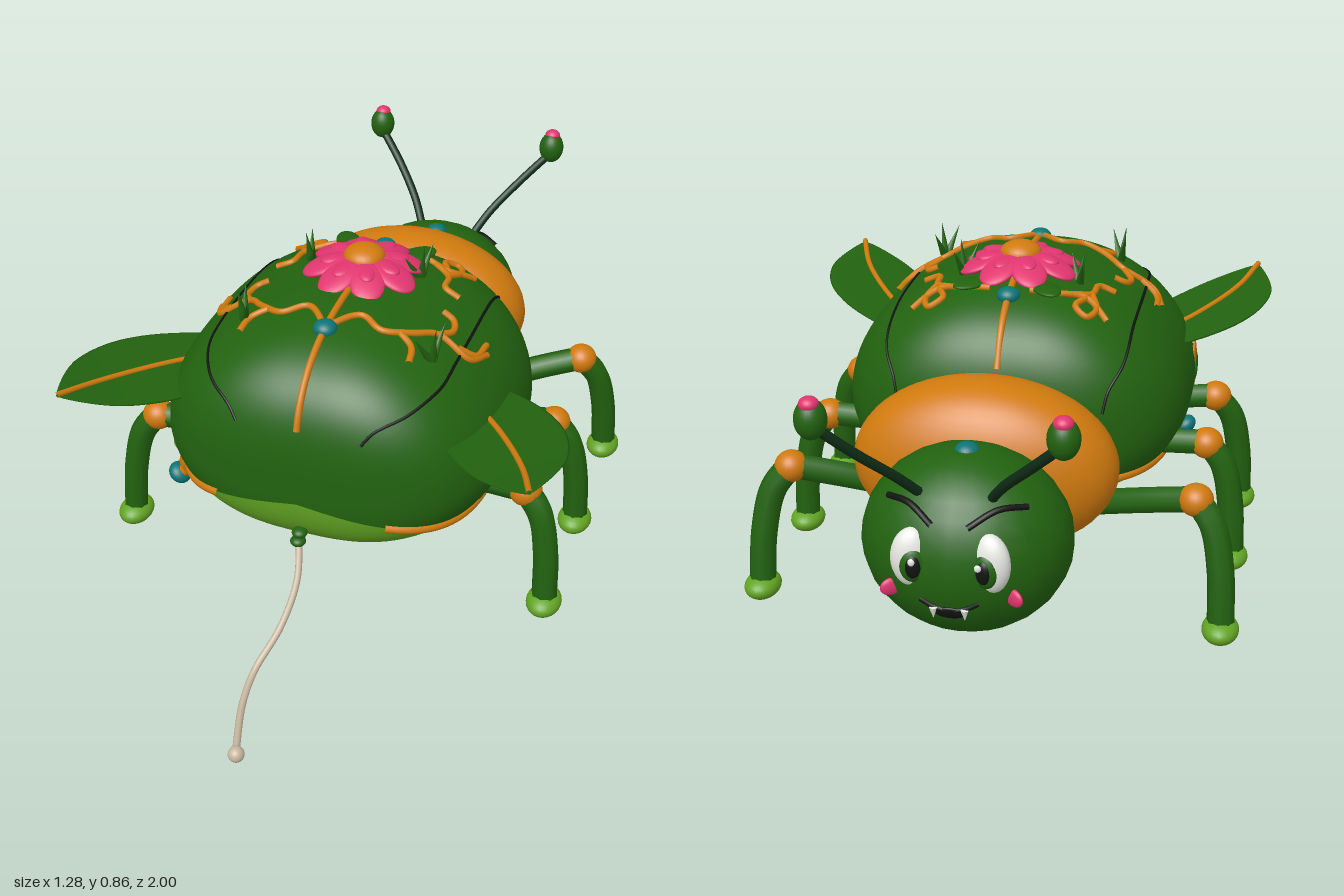
import * as THREE from 'three';
import { mergeVertices } from 'three/addons/utils/BufferGeometryUtils.js';

const mat = (name, color) => Object.assign(new THREE.MeshStandardMaterial({ color }), { name });
const GREEN = mat('leaf green', 0x22620f), PALE = mat('pale green', 0x62a423), ORANGE = mat('orange', 0xd07a0e);
const PINK = mat('pink', 0xe0356f), TEAL = mat('teal', 0x0c7476), BEIGE = mat('beige', 0xc9b8a0);
const DARK = mat('dark green', 0x0f2c16), WHITE = mat('white', 0xf4f4f0), BLACK = mat('black', 0x101410);
GREEN.side = THREE.DoubleSide;

const V = (p) => new THREE.Vector3(...p);
const spow = (v, e) => Math.sign(v) * Math.abs(v) ** e;

export function createModel() {
  const root = new THREE.Group();
  root.name = 'beetle';

  const add = (name, geo, m, pos = [0, 0, 0]) => {
    const mesh = new THREE.Mesh(geo, m);
    mesh.name = name;
    mesh.position.set(...pos);
    root.add(mesh);
    return mesh;
  };
  const ball = (name, m, pos, r, rot = [0, 0, 0]) => {
    const mesh = add(name, new THREE.SphereGeometry(1, 24, 16), m, pos);
    mesh.scale.set(...r);
    mesh.rotation.set(...rot);
    return mesh;
  };
  const tube = (name, m, pts, r, seg = 32) =>
    add(name, new THREE.TubeGeometry(new THREE.CatmullRomCurve3(pts.map(V)), seg, r, 8), m);
  // Cone standing on base, pointing along dir
  const spike = (name, m, base, dir, r, h) => {
    const c = add(name, new THREE.ConeGeometry(r, h, 6).translate(0, h / 2, 0), m, base);
    c.quaternion.setFromUnitVectors(new THREE.Vector3(0, 1, 0), V(dir).normalize());
    return c;
  };
  // Smooth surface from a rule f(u, v); wrap closes the u direction
  const grid = (f, nu, nv, wrap) => {
    const pos = [], idx = [], cols = wrap ? nu : nu + 1;
    for (let j = 0; j <= nv; j++) for (let i = 0; i < cols; i++) pos.push(...f(i / nu, j / nv));
    for (let j = 0; j < nv; j++) for (let i = 0; i < nu; i++) {
      const a = j * cols + i, b = j * cols + ((i + 1) % cols), c = a + cols, d = b + cols;
      idx.push(a, c, b, b, c, d);
    }
    const g = new THREE.BufferGeometry();
    g.setAttribute('position', new THREE.Float32BufferAttribute(pos, 3));
    g.setIndex(idx);
    g.computeVertexNormals();
    return g;
  };

  // Body: rounded dome over a pale belly
  const rx = (p) => 0.453 * Math.cos(p);
  const rz = (p) => 0.425 * Math.cbrt(Math.max(0, 1 - Math.abs(Math.sin(p)) ** 3));
  const PLAN = 2.9;
  const bodyPoint = (a, p) => [
    rx(p) * spow(Math.cos(a), 2 / PLAN),
    0.45 + (p > 0 ? 0.345 : 0.26) * Math.sin(p),
    0.075 + rz(p) * spow(Math.sin(a), 2 / PLAN),
  ];
  const edge = (a) => {
    const y = 0.33 + (Math.sin(a) > 0 ? 0.07 * (1 - Math.abs(Math.cos(a)) ** (2 / PLAN)) : 0);
    return Math.asin((y - 0.45) / 0.26);
  };
  const H = Math.PI / 2, lerp = THREE.MathUtils.lerp;
  add('shell', grid((u, v) => bodyPoint(u * 4 * H, lerp(edge(u * 4 * H), H, v)), 96, 40, true), GREEN);
  add('belly', grid((u, v) => bodyPoint(u * 4 * H, lerp(-H, edge(u * 4 * H), v)), 96, 24, true), PALE);

  // Point on top of the shell at x, z
  const on = (x, z, lift = 0) => {
    let lo = 0, hi = H;
    for (let i = 0; i < 30; i++) {
      const p = (lo + hi) / 2;
      const d = Math.abs(x / rx(p)) ** PLAN + Math.abs((z - 0.075) / rz(p)) ** PLAN;
      if (d < 1) lo = p; else hi = p;
    }
    return [x, 0.45 + 0.345 * Math.sin(lo) + lift, z];
  };
  const line = (name, m, pts, r, lift = 0) => {
    const c = new THREE.CatmullRomCurve3(pts.map(([x, z]) => new THREE.Vector3(x, 0, z)));
    return tube(name, m, c.getPoints(24).map((p) => on(p.x, p.z, lift)), r, 64);
  };

  line('centreSeam', ORANGE, [[0, -0.33], [0, 0], [0, 0.3], [0, 0.42], [0, 0.485]], 0.009);
  for (const z of [-0.18, 0.28]) ball('shellGem', TEAL, on(0, z), [0.03, 0.022, 0.03]);
  ball('headGem', TEAL, [0, 0.565, -0.67], [0.03, 0.022, 0.03]);

  // Collar: ellipsoid slightly squared off along z
  const cg = new THREE.SphereGeometry(1, 40, 28);
  cg.deleteAttribute('uv');
  cg.deleteAttribute('normal');
  const cp = cg.attributes.position;
  for (let i = 0; i < cp.count; i++) {
    const v = new THREE.Vector3().fromBufferAttribute(cp, i);
    const k = (Math.hypot(v.x, v.y) ** 2.25 + Math.abs(v.z) ** 2.25) ** (-1 / 2.25);
    cp.setXYZ(i, v.x * k * 0.325, v.y * k * 0.218, v.z * k * 0.16);
  }
  const collarGeo = mergeVertices(cg);
  collarGeo.computeVertexNormals();
  add('collar', collarGeo, ORANGE, [0, 0.442, -0.468]);

  // Head and mouth
  ball('head', GREEN, [0, 0.35, -0.672], [0.25, 0.225, 0.213]);
  const face = (x, y, out = 0) =>
    [x, y, -0.672 - out - 0.213 * Math.sqrt(1 - (x / 0.25) ** 2 - ((y - 0.35) / 0.225) ** 2)];
  tube('smile', BLACK, [[-0.068, 0.288], [-0.035, 0.27], [0, 0.264], [0.035, 0.27], [0.068, 0.288]].map(([x, y]) => face(x, y)), 0.006);
  ball('mouth', BLACK, face(0, 0.256), [0.036, 0.018, 0.007], [-0.4, 0, 0]);

  for (const s of [1, -1]) {
    // Face details
    ball('eye', WHITE, [s * 0.088, 0.38, -0.846], [0.05, 0.073, 0.034], [0, s * 0.3, 0]);
    ball('iris', GREEN, [s * 0.082, 0.372, -0.868], [0.031, 0.043, 0.018], [0, s * 0.25, 0]);
    ball('pupil', BLACK, [s * 0.08, 0.372, -0.878], [0.019, 0.029, 0.011], [0, s * 0.2, 0]);
    ball('eyeGlint', WHITE, [s * 0.075 + 0.006, 0.387, -0.887], [0.008, 0.009, 0.005]);
    tube('brow', BLACK, [face(s * 0.04, 0.468, 0.008), face(s * 0.1, 0.497, 0.006), face(s * 0.16, 0.49, 0.003)], 0.0075);
    ball('cheek', PINK, face(s * 0.14, 0.295), [0.028, 0.022, 0.01], [0, s * 0.6, 0]);
    spike('fang', WHITE, face(s * 0.036, 0.272, 0.005), [0, -1, 0], 0.01, 0.028);

    // Antenna
    tube('antenna', DARK, [[s * 0.075, 0.5, -0.78], [s * 0.12, 0.57, -0.84], [s * 0.19, 0.65, -0.905], [s * 0.265, 0.73, -0.955]], 0.012);
    ball('antennaBulb', GREEN, [s * 0.268, 0.75, -0.96], [0.036, 0.046, 0.036]);
    ball('antennaTip', PINK, [s * 0.268, 0.787, -0.966], [0.022, 0.017, 0.022]);

    // Legs
    for (const [hipX, hipY, hipZ, kneeZ, footZ] of [[0.2, 0.27, -0.31, -0.43, -0.485], [0.36, 0.36, -0.09, -0.1, -0.11], [0.36, 0.36, 0.19, 0.215, 0.25]]) {
      tube('thigh', GREEN, [[s * hipX, hipY, hipZ], [s * lerp(hipX, 0.51, 0.55), lerp(hipY, 0.37, 0.6), lerp(hipZ, kneeZ, 0.6)], [s * 0.51, 0.37, kneeZ]], 0.034);
      ball('knee', ORANGE, [s * 0.508, 0.368, kneeZ], [0.043, 0.041, 0.043]);
      tube('shin', GREEN, [[s * 0.51, 0.37, kneeZ], [s * 0.553, 0.31, lerp(kneeZ, footZ, 0.35)],
        [s * 0.577, 0.2, lerp(kneeZ, footZ, 0.7)], [s * 0.585, 0.06, footZ]], 0.034);
      ball('foot', PALE, [s * 0.585, 0.05, footZ], [0.046, 0.032, 0.06]);
    }

    // Side band, leaving the rear centre open
    const band = [];
    for (let i = 0; i <= 24; i++) {
      const a = lerp(-1.25, 1.18, i / 24), p = bodyPoint(a, edge(a));
      band.push([s * p[0], p[1], p[2]]);
    }
    tube('sideBand', ORANGE, band, 0.012, 80);

    // Dark panel groove
    line('panelLine', BLACK, [[0.26, -0.315], [0.3, -0.25], [0.31, -0.12], [0.31, 0.2], [0.3, 0.31], [0.25, 0.41], [0.16, 0.478]].map(([x, z]) => [s * x, z]), 0.004);

    // Vines
    for (const vine of [
      [[0, 0.28], [0.07, 0.21], [0.13, 0.24], [0.2, 0.2], [0.25, 0.155], [0.33, 0.16], [0.36, 0.09]],
      [[0.25, 0.155], [0.275, 0.11], [0.265, 0.07], [0.235, 0.06]],
      [[0.17, 0.22], [0.21, 0.25], [0.22, 0.3]],
      [[0.3, 0.155], [0.34, 0.13], [0.35, 0.06]],
      [[0.05, -0.16], [0.12, -0.15], [0.19, -0.13], [0.25, -0.18]],
      [[0.15, -0.14], [0.2, -0.1], [0.21, -0.04], [0.25, -0.03]],
      [[0.19, -0.13], [0.17, -0.18], [0.2, -0.2], [0.22, -0.16], [0.2, -0.1]],
    ]) line('vine', ORANGE, vine.map(([x, z]) => [s * x, z]), 0.0085, 0.004);

    // Leaf wing: thin lens-shaped blade with orange midrib
    const mid = new THREE.CatmullRomCurve3([[0.3, 0.55, 0.1], [0.45, 0.582, 0.29], [0.545, 0.61, 0.45], [0.592, 0.638, 0.575]].map(V));
    add('leafWing', grid((u, v) => {
      const c = mid.getPoint(v), w = Math.cos(u * 4 * H), thick = -Math.sin(u * 4 * H);
      const width = 0.145 * Math.max(0, Math.sin(Math.PI * lerp(0.12, 1, v) ** 0.85)) ** 0.85;
      const belly = (thick > 0 ? 0.004 : 0.022) * width / 0.145;
      return [s * (c.x + 0.85 * w * width), c.y + 0.1 * w * width + thick * belly, c.z - 0.53 * w * width];
    }, 24, 28, true), GREEN);
    tube('leafRib', ORANGE, mid.getPoints(10).map((p) => [s * p.x, p.y + 0.004, p.z]), 0.0075);

    // Side leaf badge under each wing
    ball('sideLeaf', ORANGE, [s * 0.444, 0.465, 0.195], [0.008, 0.072, 0.034]);
    ball('sideLeafCentre', GREEN, [s * 0.449, 0.465, 0.188], [0.007, 0.04, 0.015], [0.3, 0, 0]);

    // Belly spots
    for (const [a, p] of [[0.1, -1.0], [-0.5, -0.95]]) {
      const q = bodyPoint(a, p);
      ball('bellySpot', GREEN, [s * q[0], q[1], q[2]], [0.018, 0.006, 0.026], [0, 0, s * 0.5]);
    }
  }

  // Flower on the back
  const petals = (name, n, dist, y, r, turn, tilt) => {
    for (let i = 0; i < n; i++) {
      const a = (i / n) * Math.PI * 2 + turn;
      const p = ball(name, PINK, [dist * Math.sin(a), y, -0.012 + dist * Math.cos(a)], r);
      p.rotation.set(tilt, a, 0, 'YXZ');
    }
  };
  petals('outerPetal', 8, 0.1, 0.807, [0.046, 0.014, 0.064], Math.PI / 8, 0.38);
  petals('innerPetal', 8, 0.07, 0.82, [0.026, 0.013, 0.045], Math.PI / 8, 0.05);
  ball('flowerCentre', ORANGE, [0, 0.828, -0.012], [0.054, 0.032, 0.054]);
  for (const [x, z, a] of [[-0.09, -0.15, -2.6], [0.1, -0.14, 2.5]])
    ball('flowerLeaf', GREEN, on(x, z, 0.008), [0.034, 0.01, 0.06], [0, a, 0]);

  // Grass tufts
  for (const [x, z, h] of [[-0.23, 0.24, 0.1], [0.14, -0.05, 0.1], [0.26, 0.24, 0.1], [-0.16, -0.05, 0.09]])
    for (const [dx, dz] of [[0.12, 0.1], [-0.35, 0.6], [0.2, -0.65]])
      spike('grassBlade', GREEN, on(x, z, -0.01), [Math.sign(x) * dx, 1, dz], 0.013, h);

  // Tail
  tube('tail', BEIGE, [[0, 0.3, 0.485], [0.02, 0.21, 0.56], [0.005, 0.12, 0.64], [-0.03, 0.045, 0.73], [-0.025, 0.022, 0.82], [0.022, 0.025, 0.975]], 0.009, 60);
  ball('tailTip', BEIGE, [0.025, 0.022, 0.98], [0.02, 0.02, 0.02]);
  for (const i of [0, 1]) ball('tailCollar', GREEN, [0.002, 0.305 - i * 0.018, 0.488 + i * 0.012], [0.02, 0.013, 0.02]);

  // Side nozzle
  const nozzle = (name, r0, r1, h, pos) => {
    const c = add(name, new THREE.CylinderGeometry(r0, r1, h, 16), ORANGE, pos);
    c.rotation.z = 2.45;
  };
  nozzle('nozzle', 0.018, 0.02, 0.08, [-0.39, 0.275, 0.285]);
  nozzle('nozzleRim', 0.032, 0.042, 0.022, [-0.385, 0.285, 0.285]);
  ball('nozzleCap', TEAL, [-0.422, 0.243, 0.285], [0.032, 0.024, 0.032], [0, 0, 2.45]);

  return root;
}
